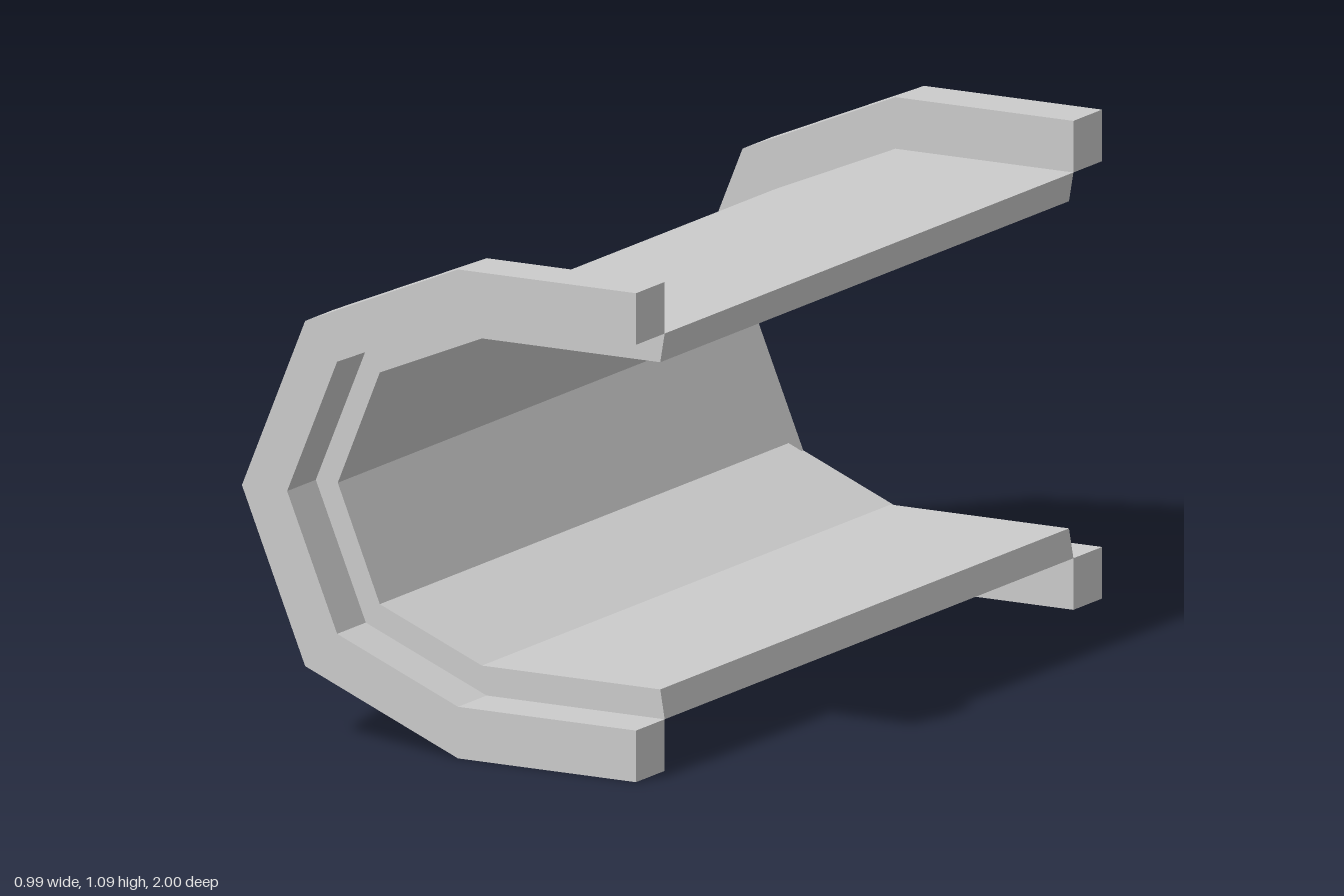
import * as THREE from 'three';

const MID = 0.5425; // height of the channel's axis

// Upper half of each C-shaped line, from the open end to the spine; y is measured from the axis
const RIM = [[0.492, 0.5425], [0.047, 0.5425], [-0.335, 0.383], [-0.493, 0]];
const OUTER = [[0.492, 0.428], [0.047, 0.428], [-0.255, 0.302], [-0.38, 0]];
const INNER = [[0.481, 0.363], [0.035, 0.363], [-0.22, 0.257], [-0.325, 0]];

// Mirror a half line below the axis to complete the C
function fullLine(half) {
  const lower = half.slice(0, -1).reverse().map(([x, y]) => [x, -y]);
  return [...half, ...lower].map(([x, y]) => new THREE.Vector2(x, y + MID));
}

// Solid C-shaped band between two lines, extruded from z0 to z1
function band(name, outside, inside, z0, z1, material) {
  const shape = new THREE.Shape([...fullLine(outside), ...fullLine(inside).reverse()]);
  const geometry = new THREE.ExtrudeGeometry(shape, { depth: z1 - z0, bevelEnabled: false });
  geometry.translate(0, 0, z0);
  const mesh = new THREE.Mesh(geometry, material);
  mesh.name = name;
  return mesh;
}

export function createModel() {
  const material = new THREE.MeshStandardMaterial({ color: 0xcccccc, flatShading: true });
  const model = new THREE.Group();
  model.name = 'halfPipeSection';

  // Long faceted wall, with a raised flange at each end
  model.add(
    band('wall', OUTER, INNER, -0.877, 0.877, material),
    band('frontFlange', RIM, OUTER, 0.877, 1, material),
    band('backFlange', RIM, OUTER, -1, -0.877, material),
  );
  return model;
}
